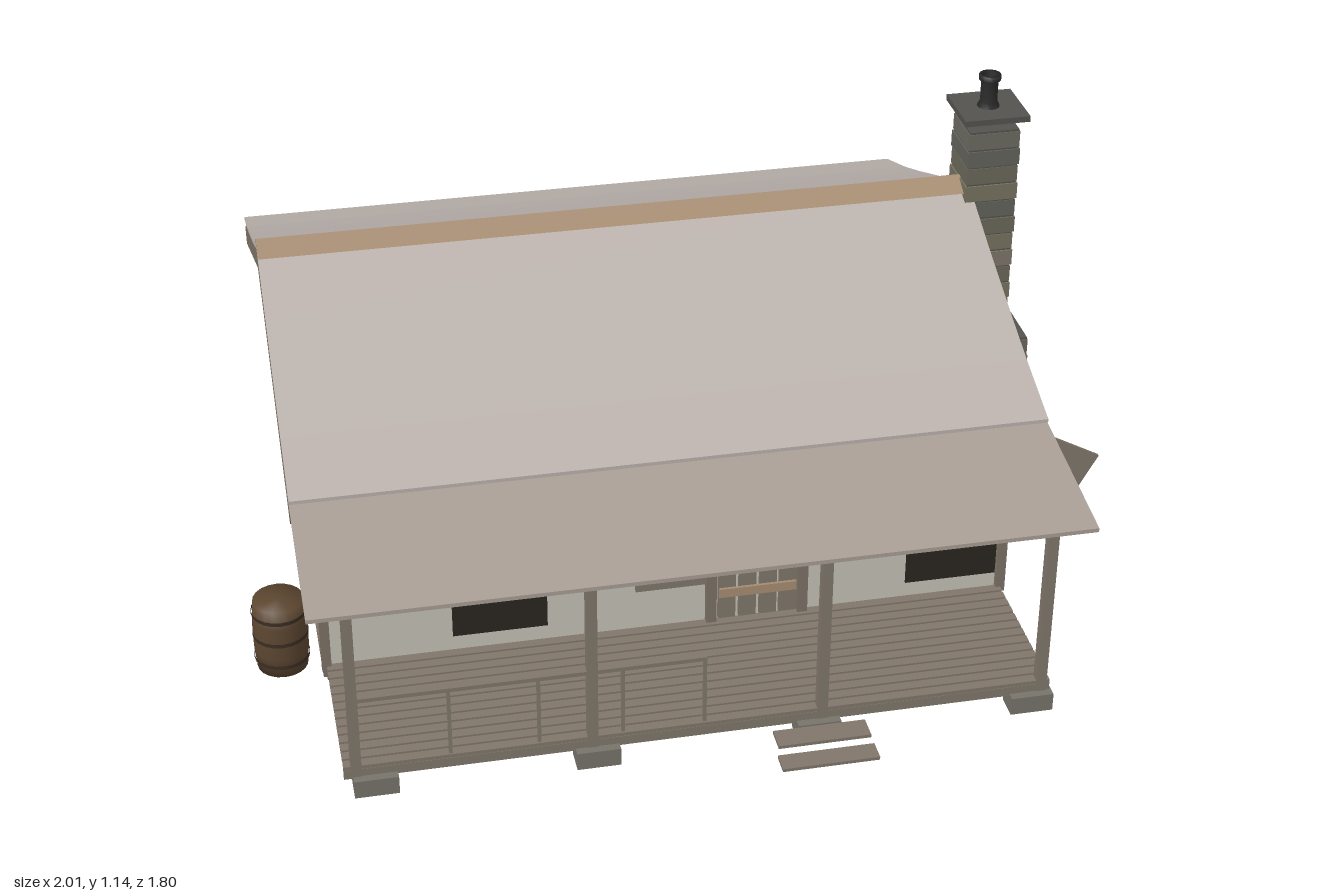
import * as THREE from 'three';

const C = {
  wall: 0xc4c0b4, roof: 0xbab1ac, porchRoof: 0xa89e94, trim: 0x7c7265, ridge: 0xa58c72, wood: 0x80766a,
  shutter: 0x587568, dark: 0x29251f, under: 0x38332d, barrel: 0x5c4630, hoop: 0x3a2e24, glass: 0xc6c8cc,
  sash: 0xd4d0c6, cap: 0x55524e, pot: 0x2c2b2b, pier: 0x77736b,
};
const STONE = [0x6b6a60, 0x77725f, 0x62625b, 0x7c7468, 0x6a685a];
const RIDGE_Z = -0.215, X0 = -0.9, X1 = 0.85, W0 = -0.84, W1 = 0.79;
const mats = {};
const mat = (c) => (mats[c] ??= new THREE.MeshStandardMaterial({ color: c, side: THREE.DoubleSide }));

function add(parent, name, geo, color) {
  const m = new THREE.Mesh(geo, mat(color));
  m.name = name;
  parent.add(m);
  return m;
}
// box given by its extents
function box(parent, name, color, x0, x1, y0, y1, z0, z1) {
  const m = add(parent, name, new THREE.BoxGeometry(x1 - x0, y1 - y0, z1 - z0), color);
  m.position.set((x0 + x1) / 2, (y0 + y1) / 2, (z0 + z1) / 2);
  return m;
}
// profile of [z, y] points extruded along x from x0 to x1
function prism(parent, name, color, pts, x0, x1) {
  const s = new THREE.Shape(pts.map(([z, y]) => new THREE.Vector2(z, y)));
  const g = new THREE.ExtrudeGeometry(s, { depth: x1 - x0, bevelEnabled: false });
  g.rotateY(-Math.PI / 2).translate(x1, 0, 0);
  return add(parent, name, g, color);
}
function group(parent, name) {
  const g = new THREE.Group();
  g.name = name;
  parent.add(g);
  return g;
}

// sash window facing +z, origin at the wall surface below its centre
function windowUnit(parent, name, x, z, turn) {
  const g = group(parent, name);
  g.position.set(x, 0, z);
  g.rotation.y = turn;
  box(g, 'glass', C.glass, -0.1, 0.1, 0.26, 0.49, -0.005, 0.004);
  for (const s of [-1, 1]) box(g, 'sideCasing', C.trim, s * 0.105 - 0.011, s * 0.105 + 0.011, 0.25, 0.5, -0.005, 0.016);
  box(g, 'headCasing', C.trim, -0.116, 0.116, 0.485, 0.505, -0.005, 0.018);
  box(g, 'sill', C.trim, -0.13, 0.13, 0.247, 0.264, -0.005, 0.028);
  box(g, 'meetingRail', C.trim, -0.1, 0.1, 0.37, 0.386, 0, 0.011);
  for (const y of [0.32, 0.435]) box(g, 'muntin', C.sash, -0.1, 0.1, y - 0.003, y + 0.003, 0, 0.008);
  for (const mx of [-0.033, 0.033]) box(g, 'muntin', C.sash, mx - 0.003, mx + 0.003, 0.26, 0.49, 0, 0.008);
}

function shutter(parent, x0, x1) {
  box(parent, 'shutter', C.shutter, x0, x1, 0.255, 0.5, 0.39, 0.402);
  for (const y of [0.29, 0.46]) box(parent, 'shutterBatten', C.shutter, x0 + 0.008, x1 - 0.008, y - 0.01, y + 0.01, 0.402, 0.408);
}

function buildHouse(root) {
  const g = group(root, 'house');
  prism(g, 'walls', C.wall, [[-0.83, 0.04], [0.39, 0.04], [0.39, 0.55], [RIDGE_Z, 0.82], [-0.83, 0.55]], W0, W1);
  box(g, 'underfloor', C.under, W0, W1, 0.033, 0.042, -0.83, 0.39);
  // sill boards and corner boards
  for (const z of [-0.834, 0.394]) box(g, 'sillBoard', C.trim, W0, W1, 0.033, 0.05, z - 0.008, z + 0.008);
  for (const x of [W0, W1]) {
    box(g, 'sillBoard', C.trim, x - 0.008, x + 0.008, 0.033, 0.05, -0.83, 0.39);
    for (const z of [-0.832, 0.394]) box(g, 'cornerBoard', C.trim, x - 0.011, x + 0.011, 0.06, 0.55, z - 0.011, z + 0.011);
  }
  // foundation piers
  for (const x of [-0.77, -0.27, 0.24, 0.74])
    for (const z of [-0.75, -0.22, 0.315]) box(g, 'pier', C.pier, x - 0.04, x + 0.04, 0, 0.038, z - 0.04, z + 0.04);

  windowUnit(g, 'frontWindowRight', -0.43, 0.39, 0);
  windowUnit(g, 'frontWindowLeft', 0.655, 0.39, 0);
  windowUnit(g, 'backWindow', -0.03, -0.83, Math.PI);
  windowUnit(g, 'sideWindow', W0, -0.22, -Math.PI / 2);
  shutter(g, -0.67, -0.555);
  shutter(g, -0.3, -0.18);
  shutter(g, 0.42, 0.54);
  // openings where the cladding is missing
  for (const x of [-0.43, 0.665]) box(g, 'wallHole', C.dark, x - 0.112, x + 0.112, 0.11, 0.247, 0.388, 0.395);
  // loose shutter and side panel at the corner
  const loose = add(g, 'looseShutter', new THREE.BoxGeometry(0.13, 0.245, 0.008), C.wood);
  loose.position.set(0.895, 0.345, 0.4);
  loose.rotation.z = -0.5;
  box(g, 'sidePanel', C.trim, W1, W1 + 0.012, 0.255, 0.505, 0.338, 0.385);

  // plank door with jambs and battens
  const door = group(g, 'door');
  for (const x of [0.073, 0.295]) box(door, 'jamb', C.trim, x - 0.012, x + 0.012, 0.07, 0.5, 0.385, 0.41);
  box(door, 'lintel', C.trim, 0.06, 0.31, 0.49, 0.512, 0.385, 0.412);
  for (const x of [0.112, 0.162, 0.212, 0.26]) box(door, 'doorPlank', C.wood, x - 0.021, x + 0.021, 0.075, 0.487, 0.39, 0.4);
  for (const y of [0.15, 0.28, 0.42]) box(door, 'doorBatten', C.ridge, 0.092, 0.28, y - 0.012, y + 0.012, 0.4, 0.407);
  // loose boards on the front wall
  box(g, 'looseBoard', C.wood, -0.765, -0.59, 0.307, 0.337, 0.4, 0.412);
  box(g, 'looseBoard', C.wood, -0.11, 0.06, 0.187, 0.215, 0.4, 0.412);
}

function buildRoof(root) {
  const g = group(root, 'roof');
  // sagging slope: distance from the ridge and height
  const sag = [[0, 0.862], [0.2, 0.772], [0.4, 0.69], [0.515, 0.645], [0.688, 0.585]];
  for (const s of [-1, 1]) {
    const at = ([d, y]) => [RIDGE_Z + s * d, y];
    const under = sag.map(([d, y]) => [d, y - 0.009]).reverse();
    prism(g, 'roofSheet', C.roof, [...sag, ...under].map(at), X0, X1);
    const rake = [[0, 0.85], [0.69, 0.558], [0.672, 0.515], [0, 0.802]].map(at);
    for (const x of [X0, X1 - 0.022]) prism(g, 'rakeBoard', C.trim, rake, x, x + 0.022);
    prism(g, 'eaveFascia', C.trim, [[0.67, 0.566], [0.69, 0.558], [0.672, 0.515], [0.655, 0.522]].map(at), X0, X1);
    prism(g, 'soffit', C.trim, [[0, 0.838], [0.675, 0.556], [0.67, 0.546], [0, 0.826]].map(at), X0 + 0.01, X1 - 0.01);
  }
  const zr = RIDGE_Z;
  prism(g, 'ridgeCap', C.ridge, [[zr - 0.052, 0.852], [zr, 0.88], [zr + 0.052, 0.852], [zr, 0.862]], X0, X1);
}

function buildPorch(root) {
  const g = group(root, 'porch');
  prism(g, 'porchRoof', C.porchRoof, [[0.4, 0.583], [0.838, 0.524], [0.838, 0.514], [0.4, 0.573]], X0, X1);
  box(g, 'beam', C.trim, W0, W1, 0.502, 0.518, 0.757, 0.783);
  // deck boards with gaps, joists and rim
  const n = 13, step = 0.39 / n;
  for (let i = 0; i < n; i++) {
    const z = 0.395 + i * step;
    box(g, 'deckBoard', C.wood, W0, W1, 0.064, 0.073, z, z + step - 0.006);
  }
  box(g, 'rim', C.wood, W0, W1, 0.04, 0.064, 0.768, 0.78);
  // posts on footings
  for (const [x, f] of [[-0.812, -0.77], [-0.28, -0.27], [0.25, 0.24], [0.77, 0.745]]) {
    box(g, 'post', C.wood, x - 0.012, x + 0.012, 0.04, 0.51, 0.758, 0.782);
    box(g, 'postCap', C.wood, x - 0.017, x + 0.017, 0.49, 0.515, 0.753, 0.787);
    box(g, 'footing', C.pier, f - 0.05, f + 0.05, 0, 0.045, 0.74, 0.8);
  }
  // partial railing
  box(g, 'topRail', C.wood, -0.81, -0.02, 0.243, 0.253, 0.764, 0.776);
  for (const x of [-0.6, -0.4, -0.21, -0.023]) box(g, 'baluster', C.wood, x - 0.004, x + 0.004, 0.07, 0.253, 0.766, 0.774);
  // steps
  box(g, 'upperStep', C.wood, 0.13, 0.345, 0.033, 0.041, 0.8, 0.856);
  box(g, 'lowerStep', C.wood, 0.13, 0.355, 0.002, 0.01, 0.85, 0.9);
}

function buildChimney(root) {
  const g = group(root, 'chimney');
  // stone courses around a darker core
  const stack = (n, y0, y1, xa, xb, za, zb) => {
    box(g, 'chimneyCore', C.cap, xa + 0.004, xb - 0.004, y0, y1, za + 0.004, zb - 0.004);
    const h = (y1 - y0) / n;
    for (let i = 0; i < n; i++) {
      const e = 0.002 * (i % 2);
      box(g, 'stoneCourse', STONE[(i * 3 + (i >> 2)) % 5], xa + e, xb - e, y0 + i * h, y0 + (i + 1) * h - 0.005, za + e, zb - e);
    }
  };
  stack(10, 0, 0.46, 0.805, 1, -0.342, -0.098);
  stack(12, 0.46, 1.02, 0.825, 0.957, -0.285, -0.15);
  box(g, 'chimneyCap', C.cap, 0.81, 0.973, 1.045, 1.06, -0.298, -0.138);
  const pot = [[0.028, 1.06], [0.021, 1.075], [0.021, 1.125], [0.027, 1.13], [0.027, 1.143], [0.017, 1.143], [0.015, 1.07]];
  add(g, 'chimneyPot', new THREE.LatheGeometry(pot.map(([r, y]) => new THREE.Vector2(r, y)), 16), C.pot).position.set(0.891, 0, -0.218);
}

function buildBarrel(root) {
  const g = group(root, 'barrel');
  g.position.set(-0.935, 0, 0.268);
  const body = [[0, 0], [0.06, 0], [0.064, 0.05], [0.065, 0.093], [0.064, 0.136], [0.06, 0.185], [0, 0.185]];
  add(g, 'staves', new THREE.LatheGeometry(body.map(([r, y]) => new THREE.Vector2(r, y)), 20), C.barrel);
  for (const y of [0.03, 0.093, 0.155])
    add(g, 'hoop', new THREE.CylinderGeometry(0.0655, 0.0655, 0.01, 20, 1, true), C.hoop).position.y = y;
}

export function createModel() {
  const root = new THREE.Group();
  root.name = 'cabin';
  buildHouse(root);
  buildRoof(root);
  buildPorch(root);
  buildChimney(root);
  buildBarrel(root);
  return root;
}
